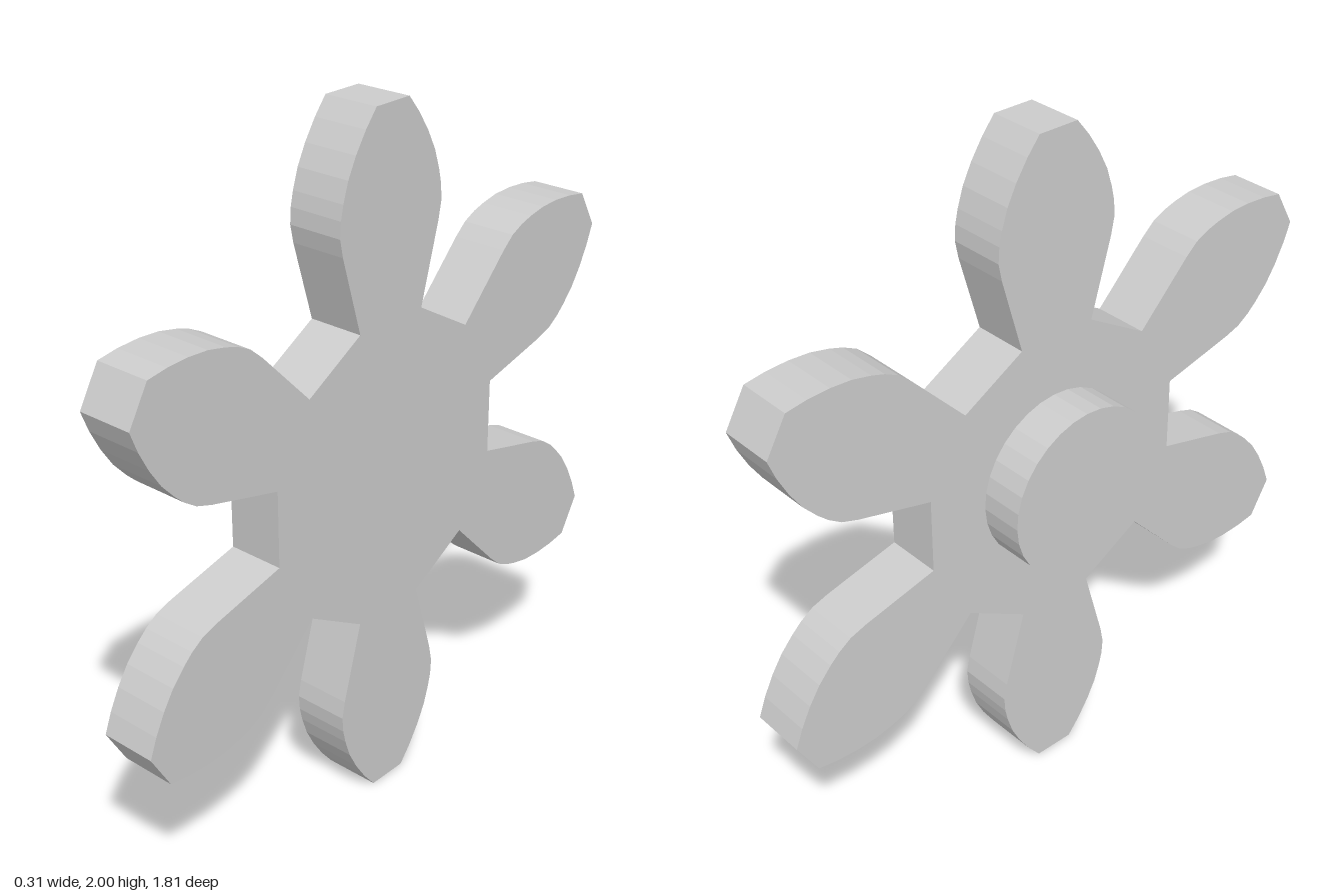
import * as THREE from 'three';

const TEETH = 6;
// Half of one tooth, from root to tip: [half width, radius]
const TOOTH = [
  [0.12, 0.427], [0.184, 0.65], [0.194, 0.70], [0.191, 0.745],
  [0.182, 0.785], [0.164, 0.84], [0.136, 0.895], [0.1, 0.95], [0.061, 0.998],
];

// Outline of the toothed plate, counter-clockwise
function gearShape() {
  const oneTooth = [
    ...TOOTH,
    ...TOOTH.slice().reverse().map(([w, r]) => [-w, r]),
  ];
  const points = [];
  for (let i = 0; i < TEETH; i++) {
    const a = (i / TEETH) * Math.PI * 2;
    for (const [w, r] of oneTooth) {
      points.push(new THREE.Vector2(w, r).rotateAround(new THREE.Vector2(), a));
    }
  }
  return new THREE.Shape(points);
}

export function createModel() {
  const group = new THREE.Group();
  group.name = 'gearWheel';
  const material = new THREE.MeshStandardMaterial({ color: 0xcccccc, flatShading: true });

  // Wheel axis runs along x, with a slight lean
  const wheel = new THREE.Group();
  wheel.name = 'wheel';
  wheel.position.y = 1;
  wheel.rotation.z = -0.015;
  group.add(wheel);

  // Toothed plate, turned a little about its axis
  const plateGeometry = new THREE.ExtrudeGeometry(gearShape(), { depth: 0.164, bevelEnabled: false });
  plateGeometry.rotateZ(0.02).rotateY(Math.PI / 2).translate(-0.028, 0, 0);
  const plate = new THREE.Mesh(plateGeometry, material);
  plate.name = 'toothedPlate';
  wheel.add(plate);

  // Round hub on the -x face
  const hubGeometry = new THREE.CylinderGeometry(0.247, 0.247, 0.126, 32);
  hubGeometry.rotateZ(Math.PI / 2).translate(-0.091, 0.005, -0.004);
  const hub = new THREE.Mesh(hubGeometry, material);
  hub.name = 'hub';
  wheel.add(hub);

  return group;
}
